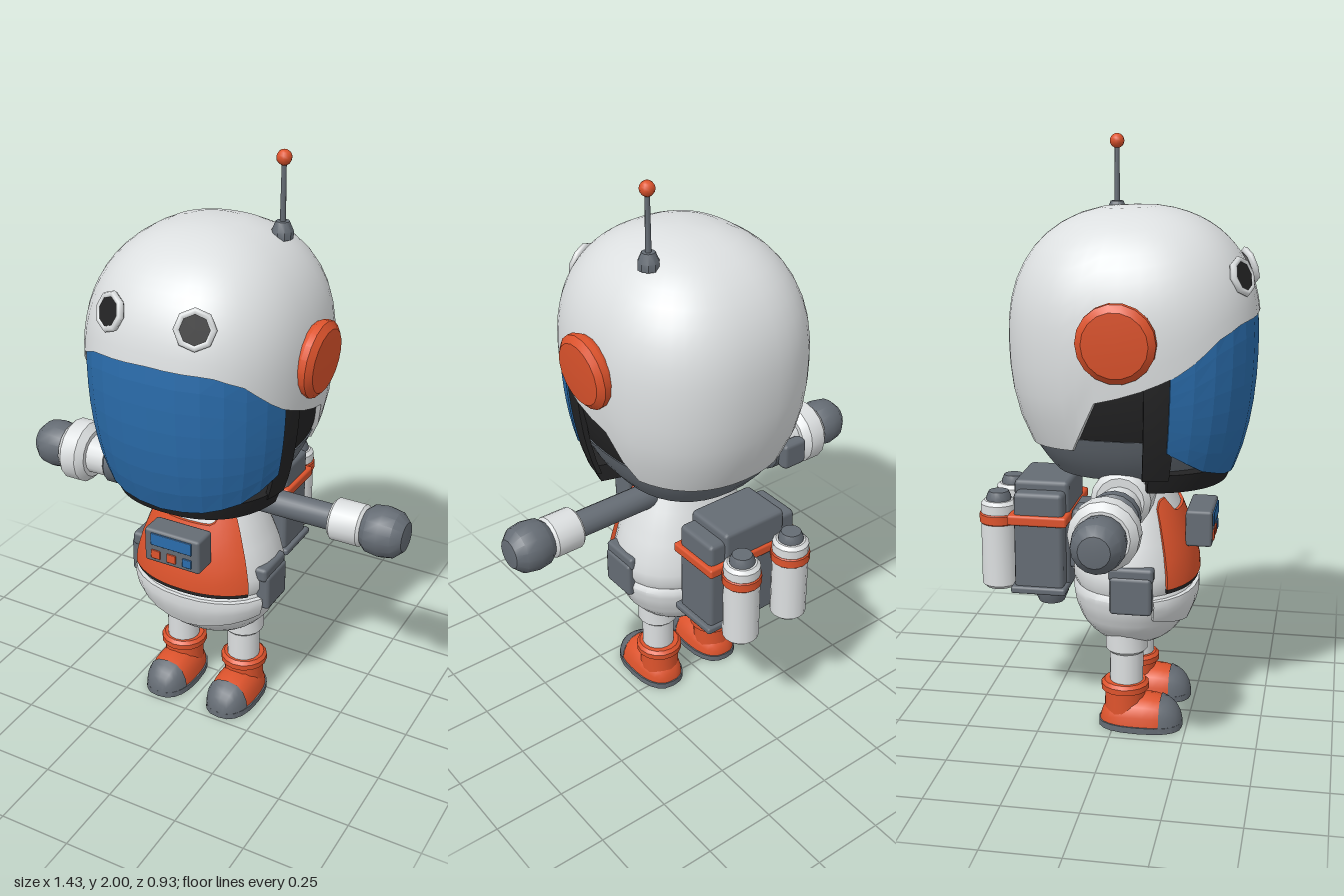
import * as THREE from 'three';
import { mergeVertices, toCreasedNormals } from 'three/addons/utils/BufferGeometryUtils.js';
import { RoundedBoxGeometry } from 'three/addons/geometries/RoundedBoxGeometry.js';

const color = (name, hex) => Object.assign(new THREE.MeshStandardMaterial({ color: hex }), { name });
const { PI, abs, sin, cos, sign, pow, min, max } = Math;
const deg = PI / 180;

// Piecewise linear lookup through [key, value] pairs
function lerpTable(t, table) {
  if (t <= table[0][0]) return table[0][1];
  for (let i = 1; i < table.length; i++) {
    const [a, va] = table[i - 1], [b, vb] = table[i];
    if (t <= b) return va + (vb - va) * (t - a) / (b - a);
  }
  return table[table.length - 1][1];
}
const spow = (v, p) => sign(v) * pow(abs(v), p);

// Curved plate around the y axis; its border rows fold inward to give it thickness
function plate(radius, o) {
  const { from = -180, to = 180, lo, hi, scale = 1, lip = 0.05, nu = 36, nv = 12, q = 1, flat = false } = o;
  const { rx, rz, cz, p } = o.base;
  const at = (f, a) => (typeof f === 'function' ? f(abs(a)) : f);
  const g = new THREE.PlaneGeometry(1, 1, nu + 2, nv + 2);
  const pos = g.attributes.position;
  for (let i = 0; i < pos.count; i++) {
    const iu = i % (nu + 3), iv = (i - iu) / (nu + 3);
    const u = min(max((iu - 1) / nu, 0), 1), w = min(max((iv - 1) / nv, 0), 1);
    const edge = iu === 0 || iu === nu + 2 || iv === 0 || iv === nv + 2;
    const a = from + (to - from) * u;
    const top = at(hi, a), y = top - (top - at(lo, a)) * pow(w, q);
    const r = radius(y) * scale * (edge ? 1 - lip : 1);
    pos.setXYZ(i, rx * r * spow(sin(a * deg), p), y, cz + rz * r * spow(cos(a * deg), p));
  }
  g.deleteAttribute('uv');
  g.deleteAttribute('normal');
  return toCreasedNormals(mergeVertices(g, 1e-5), flat ? 0.01 : 0.7);
}
const egg = (up, down) => y => {
  const t = y > 1.36 ? (y - 1.36) / up : (1.36 - y) / down;
  return pow(max(0, 1 - pow(t, 2.3)), 0.435);
};
const lathe = (pts, sides = 16) =>
  toCreasedNormals(new THREE.LatheGeometry(pts.map(([r, y]) => new THREE.Vector2(r, y)), sides), 0.6);
const tube = (r, a, b, bevel = 0.01) => [[0, a], [r - bevel, a], [r, a + bevel], [r, b - bevel], [r - bevel, b], [0, b]];

export function createModel() {
  const white = color('white', 0xdcdfe0), slate = color('slate', 0x656c74), orange = color('orange', 0xdd532c);
  const blue = color('visor blue', 0x2a6cab), black = color('black', 0x232324);
  const model = new THREE.Group();
  model.name = 'astronaut';
  const add = (name, geo, mat, x = 0, y = 0, z = 0, parent = model) => {
    const m = new THREE.Mesh(geo, mat);
    m.name = name;
    m.position.set(x, y, z);
    parent.add(m);
    return m;
  };
  const box = (name, mat, w, h, d, x, y, z, bevel = 0.01) =>
    add(name, new RoundedBoxGeometry(w, h, d, 1, bevel), mat, x, y, z);

  // Helmet shell, lining and underside
  const base = { rx: 0.378, rz: 0.415, cz: 0.047, p: 0.84 };
  const skull = egg(0.42, 0.55), face = egg(0.42, 0.7);
  const rim = a => lerpTable(a, [[0, 1.44], [28, 1.43], [45, 1.39], [65, 1.29], [90, 1.21], [98, 1.19], [110, 1.02], [180, 1.0]]);
  add('helmetShell', plate(skull, { base, lo: rim, hi: 1.78, q: 1.7, nu: 48, nv: 14 }), white);
  add('helmetLining', plate(skull, { base, from: -125, to: 125, lo: 0.98, hi: 1.48, scale: 0.955 }), black);
  add('helmetUnderside', plate(skull, { base, lo: 0.91, hi: 1.06, scale: 0.97, lip: 1, nv: 4 }), slate);

  // Faceted visor with its dark frame and chin
  add('visor', plate(face, {
    base, from: -70, to: 70, scale: 0.99, nu: 12, nv: 7, flat: true, hi: a => rim(a) + 0.02,
    lo: a => lerpTable(a, [[0, 0.91], [25, 0.925], [50, 0.96], [70, 1.03]]),
  }), blue);
  add('visorChin', plate(face, { base, from: -78, to: 78, lo: 0.885, hi: 0.95, scale: 0.965, lip: 0.8, nv: 2 }), black);
  for (const s of [-1, 1]) {
    add('visorFrame', plate(face, {
      base, from: s * 74 - 7, to: s * 74 + 7, lo: 0.93, hi: 1.29, scale: 0.978, nu: 3, nv: 6,
    }), black);

    // Ear discs
    const ear = add('earDisc', lathe([[0, -0.03], [0.115, -0.03], [0.127, -0.01], [0.127, 0.01], [0.105, 0.028], [0, 0.035]], 18),
      orange, s * 0.383, 1.385, 0.047);
    ear.rotation.z = -s * (PI / 2 + 0.08);

    // Brow lamps
    const lamp = new THREE.Group();
    lamp.name = 'browLamp';
    lamp.position.set(s * 0.147, 1.57, 0.41);
    lamp.lookAt(s * 0.5, 1.85, 1.21);
    model.add(lamp);
    add('lampRing', new THREE.TorusGeometry(0.054, 0.012, 6, 8), white, 0, 0, 0, lamp);
    const lens = add('lampLens', new THREE.CylinderGeometry(0.05, 0.05, 0.03, 8), black, 0, 0, -0.007, lamp);
    lens.rotation.x = PI / 2;
  }

  // Antenna
  add('antennaBase', lathe([[0, 1.72], [0.035, 1.72], [0.035, 1.745], [0.022, 1.775], [0, 1.775]], 10), slate, 0.2, 0, -0.05);
  add('antennaRod', new THREE.CylinderGeometry(0.008, 0.01, 0.2, 8), slate, 0.2, 1.87, -0.05);
  add('antennaTip', new THREE.SphereGeometry(0.025, 10, 8), orange, 0.2, 1.975, -0.05);

  // Torso and hips
  const body = { rx: 1, rz: 0.81, cz: 0.05, p: 0.92 };
  const chest = y => lerpTable(y, [[0.5, 0.245], [0.52, 0.262], [0.57, 0.26], [0.65, 0.24], [0.75, 0.2], [0.85, 0.15], [0.93, 0.11]]);
  const hips = y => lerpTable(y, [[0.285, 0.06], [0.295, 0.12], [0.33, 0.18], [0.38, 0.225], [0.44, 0.252], [0.49, 0.262], [0.51, 0.25]]);
  add('torso', plate(chest, { base: body, lo: 0.5, hi: 0.93, lip: 1, nu: 28 }), white);
  add('hips', plate(hips, { base: body, lo: 0.285, hi: 0.51, lip: 1, nu: 28 }), white);
  add('hipPlate', plate(hips, { base: body, from: -65, to: 65, lo: a => 0.365 + a * 0.001, hi: 0.5, scale: 1.07, lip: 0.1, nu: 10, nv: 4 }), white);
  add('neckRing', new THREE.CylinderGeometry(0.12, 0.13, 0.06, 16), slate, 0, 0.9, 0.05);

  // Chest plate and control box
  const collar = a => lerpTable(a, [[0, 0.77], [24, 0.77], [36, 0.82], [46, 0.815], [52, 0.79]]);
  add('chestPlate', plate(chest, { base: body, from: -52, to: 52, lo: 0.535, hi: collar, scale: 1.06, lip: 0.08, nu: 20, nv: 6 }), orange);
  add('chestPlateEdge', plate(chest, { base: body, from: -52, to: 52, lo: 0.52, hi: 0.536, scale: 1.035, nu: 20, nv: 1 }), black);
  box('controlBox', slate, 0.21, 0.125, 0.09, 0, 0.713, 0.28);
  box('controlScreen', blue, 0.155, 0.045, 0.008, 0, 0.742, 0.326, 0.002);
  [orange, orange, blue].forEach((m, i) => box('controlButton', m, 0.034, 0.032, 0.008, (i - 1) * 0.06, 0.684, 0.326, 0.002));

  // Belt pouches
  for (const s of [-1, 1]) {
    box('pouch', slate, 0.09, 0.13, 0.14, s * 0.228, 0.52, 0.075, 0.012);
    box('pouchFlap', slate, 0.08, 0.05, 0.15, s * 0.225, 0.59, 0.075, 0.012);
  }

  // Arms: each piece is turned along x
  const limb = (s, name, mat, pts, y = 0.825) => {
    add(name, lathe(pts), mat, 0, y, 0.04).rotation.z = -s * PI / 2;
  };
  const hand = [[0, 0.56], [0.055, 0.56], [0.08, 0.59], [0.086, 0.635], [0.078, 0.68], [0.05, 0.71], [0, 0.716]];
  limb(1, 'leftArm', slate, tube(0.045, 0.1, 0.47));
  limb(1, 'leftCuff', white, tube(0.072, 0.455, 0.57));
  limb(1, 'leftHand', slate, hand);
  limb(-1, 'rightShoulder', white, tube(0.1, 0.08, 0.265, 0.02), 0.845);
  limb(-1, 'rightSleeve', white, tube(0.072, 0.1, 0.49));
  limb(-1, 'rightArmBand', slate, tube(0.086, 0.345, 0.405));
  limb(-1, 'rightCuff', white, tube(0.112, 0.478, 0.585, 0.024));
  limb(-1, 'rightHand', slate, hand);
  box('armDevice', slate, 0.1, 0.1, 0.05, -0.415, 0.825, -0.055, 0.015);

  // Legs and boots
  const round = (g, sx, sy, sz, floor) => {
    const p = g.rotateX(PI / 2).attributes.position;
    for (let i = 0; i < p.count; i++) {
      p.setXYZ(i, sx * spow(p.getX(i), 0.8), max(floor, sy * spow(p.getY(i), 0.8)), sz * spow(p.getZ(i), 0.8));
    }
    g.deleteAttribute('uv');
    return toCreasedNormals(mergeVertices(g, 1e-5), 0.7);
  };
  for (const s of [-1, 1]) {
    const x = s * 0.125;
    add('legCuff', lathe(tube(0.072, 0.275, 0.36)), white, x, 0, 0.04);
    add('leg', new THREE.CylinderGeometry(0.058, 0.058, 0.2, 16), white, x, 0.235, 0.04);
    add('bootShaft', lathe([[0.072, 0.02], [0.07, 0.13], [0.083, 0.135], [0.083, 0.155], [0.072, 0.166], [0, 0.166]]), orange, x, 0, 0.035);
    add('bootFoot', round(new THREE.SphereGeometry(1, 16, 10, 0, 2 * PI, 1.1, PI - 1.1), 0.084, 0.115, 0.142, 0.005), orange, x, 0, 0.09);
    add('bootToe', round(new THREE.SphereGeometry(1, 16, 6, 0, 2 * PI, 0, 1.15), 0.088, 0.119, 0.146, 0.003), slate, x, 0, 0.09);
    const sole = new THREE.CylinderGeometry(1, 1, 0.022, 20);
    const p = sole.attributes.position;
    for (let i = 0; i < p.count; i++) {
      p.setX(i, 0.088 * spow(p.getX(i), 0.8));
      p.setZ(i, 0.146 * spow(p.getZ(i), 0.8));
    }
    add('bootSole', toCreasedNormals(sole, 0.7), slate, x, 0.011, 0.09);
  }

  // Backpack with strap, nozzle and twin tanks
  box('backpack', slate, 0.36, 0.34, 0.17, 0, 0.66, -0.255, 0.015);
  box('backpackCore', slate, 0.25, 0.38, 0.19, 0, 0.67, -0.255, 0.015);
  box('backpackFloor', slate, 0.39, 0.025, 0.19, 0, 0.49, -0.255, 0.008);
  box('backpackStrap', orange, 0.39, 0.035, 0.205, 0, 0.737, -0.257, 0.008);
  box('backMount', slate, 0.2, 0.2, 0.1, 0, 0.65, -0.14);
  add('nozzle', lathe([[0, 0.39], [0.045, 0.39], [0.062, 0.43], [0.062, 0.49], [0, 0.49]]), slate, 0, 0, -0.25);
  for (const s of [-1, 1]) {
    const x = s * 0.105, z = -0.408;
    add('tank', lathe(tube(0.062, 0.475, 0.785, 0.012)), white, x, 0, z);
    add('tankBand', lathe(tube(0.067, 0.705, 0.742, 0.004)), orange, x, 0, z);
    add('tankCap', lathe([[0, 0.78], [0.043, 0.78], [0.043, 0.795], [0.034, 0.815], [0, 0.815]]), slate, x, 0, z);
  }
  return model;
}
